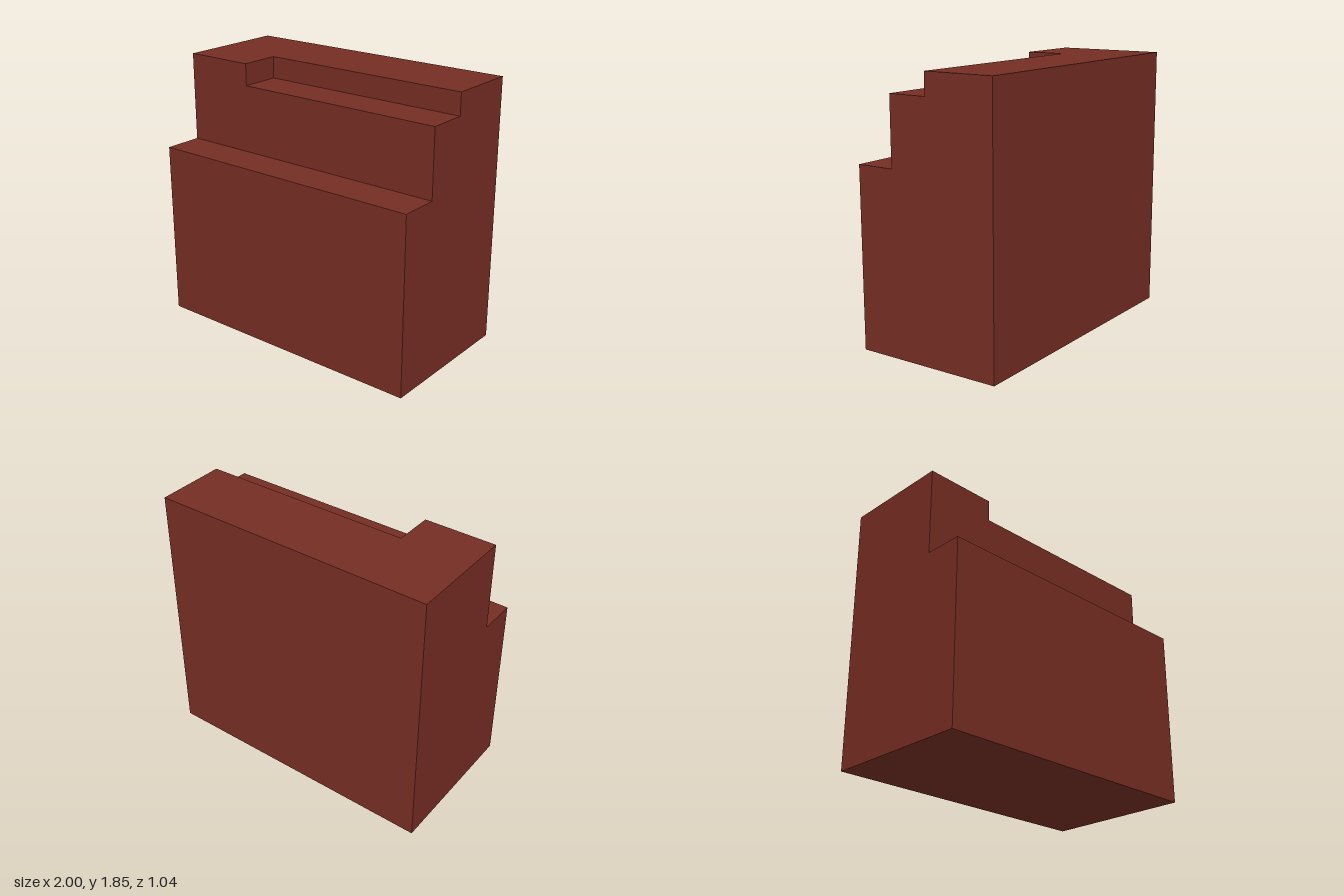
import * as THREE from 'three';

const BACK = -0.52, FRONT = 0.52, STEP_Z = 0.25, NOTCH_Z = -0.025;
const STEP_Y = 1.235, NOTCH_Y = 1.7, TOP = 1.85;

export function createModel() {
  const group = new THREE.Group();
  const brickRed = new THREE.MeshStandardMaterial({ color: 0x752d23 });
  brickRed.name = 'brickRed';

  // Extrudes a side profile of [z, y] points along x, from x0 to x1
  function addSection(name, profile, x0, x1) {
    const shape = new THREE.Shape(profile.map(([z, y]) => new THREE.Vector2(-z, y)));
    const geometry = new THREE.ExtrudeGeometry(shape, { depth: x1 - x0, bevelEnabled: false });
    geometry.rotateY(Math.PI / 2).translate(x0, 0, 0);
    const mesh = new THREE.Mesh(geometry, brickRed);
    mesh.name = name;
    group.add(mesh);
  }

  // Body and front ledge, shared by both sections
  const lower = [[BACK, 0], [FRONT, 0], [FRONT, STEP_Y], [STEP_Z, STEP_Y]];

  // Full-height end
  addSection('fullHeightEnd', [...lower, [STEP_Z, TOP], [BACK, TOP]], -1, -0.5);

  // Long section with the shallow step cut into its top front edge
  addSection('notchedSection',
    [...lower, [STEP_Z, NOTCH_Y], [NOTCH_Z, NOTCH_Y], [NOTCH_Z, TOP], [BACK, TOP]], -0.5, 1);

  return group;
}
